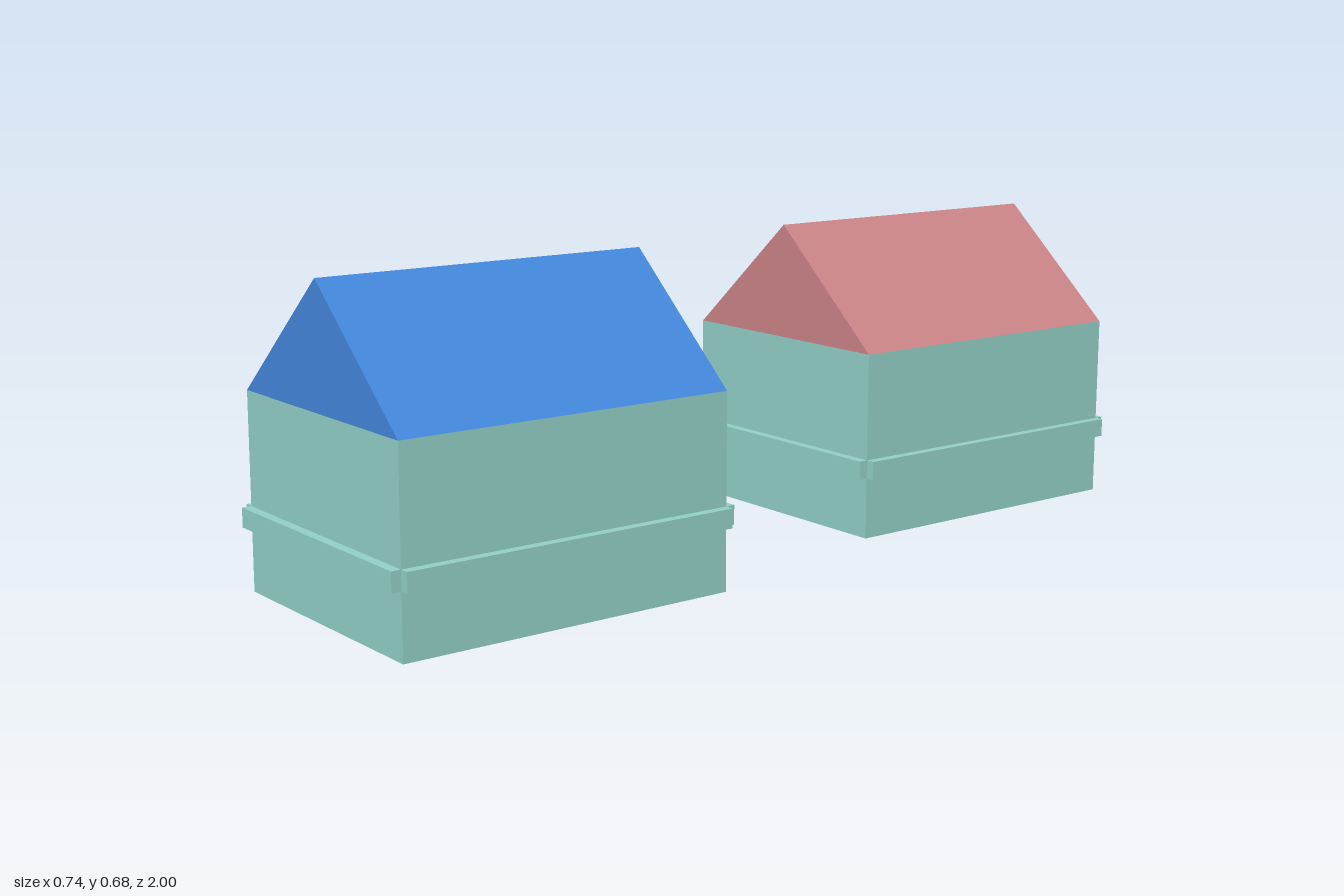
import * as THREE from 'three';

const W = 0.566, L = 0.73, WALL = 0.403, ROOF = 0.25; // house width, length, wall and roof heights
const SILL = 0.173, BAND = 0.04, OUT = 0.02;          // window sill height, trim band height and overhang
const DEPTH = 0.2;                                    // depth of the window bays
const OPENINGS = [[0.116, 0.258], [0.385, 0.555]];    // bays, measured from the back end

const paint = (color) => new THREE.MeshStandardMaterial({ color, flatShading: true });

// Box given by its minimum and maximum corners
function block(name, material, [x0, y0, z0], [x1, y1, z1]) {
  const mesh = new THREE.Mesh(new THREE.BoxGeometry(x1 - x0, y1 - y0, z1 - z0), material);
  mesh.position.set((x0 + x1) / 2, (y0 + y1) / 2, (z0 + z1) / 2);
  mesh.name = name;
  return mesh;
}

function createHouse(name, roofColor) {
  const house = new THREE.Group();
  house.name = name;
  const wall = paint(0x92d0c6);
  const hw = W / 2, hl = L / 2;
  const inner = -hw + DEPTH;

  // Solid lower storey and main body
  house.add(block('base', wall, [-hw, 0, -hl], [hw, SILL, hl]));
  house.add(block('body', wall, [inner, SILL, -hl], [hw, WALL, hl]));

  // Piers between the open bays on one long side
  const edges = [0, ...OPENINGS.flat(), L];
  for (let i = 0; i < edges.length; i += 2) {
    house.add(block('pier', wall, [-hw, SILL, edges[i] - hl], [inner, WALL, edges[i + 1] - hl]));
  }

  // Shelf inside each bay
  for (const [a, b] of OPENINGS) {
    house.add(block('shelf', wall, [-hw + 0.03, 0.27, a - hl], [inner, 0.29, b - hl]));
  }

  // Trim band around the walls, open at the corners
  for (const s of [-1, 1]) {
    const side = block('sideTrim', wall, [-OUT / 2, SILL - BAND, -hl], [OUT / 2, SILL, hl]);
    side.position.x = s * (hw + OUT / 2);
    const end = block('endTrim', wall, [-hw, SILL - BAND, -OUT / 2], [hw, SILL, OUT / 2]);
    end.position.z = s * (hl + OUT / 2);
    house.add(side, end);
  }

  // Gabled roof prism
  const gable = new THREE.Shape([
    new THREE.Vector2(-hw, 0), new THREE.Vector2(hw, 0), new THREE.Vector2(0, ROOF),
  ]);
  const roof = new THREE.Mesh(
    new THREE.ExtrudeGeometry(gable, { depth: L, bevelEnabled: false }), paint(roofColor));
  roof.position.set(0, WALL, -hl);
  roof.name = 'roof';
  house.add(roof);

  // Slight lean
  house.rotation.set(-0.009, -0.008, 0.003);
  return house;
}

export function createModel() {
  const model = new THREE.Group();
  model.name = 'twoHouses';
  const front = createHouse('frontHouse', 0x4488dd);
  front.position.set(0.0625, 0.022, 0.615);
  const back = createHouse('backHouse', 0xcc8488);
  back.position.set(-0.0645, 0.007, -0.615);
  model.add(front, back);
  return model;
}
